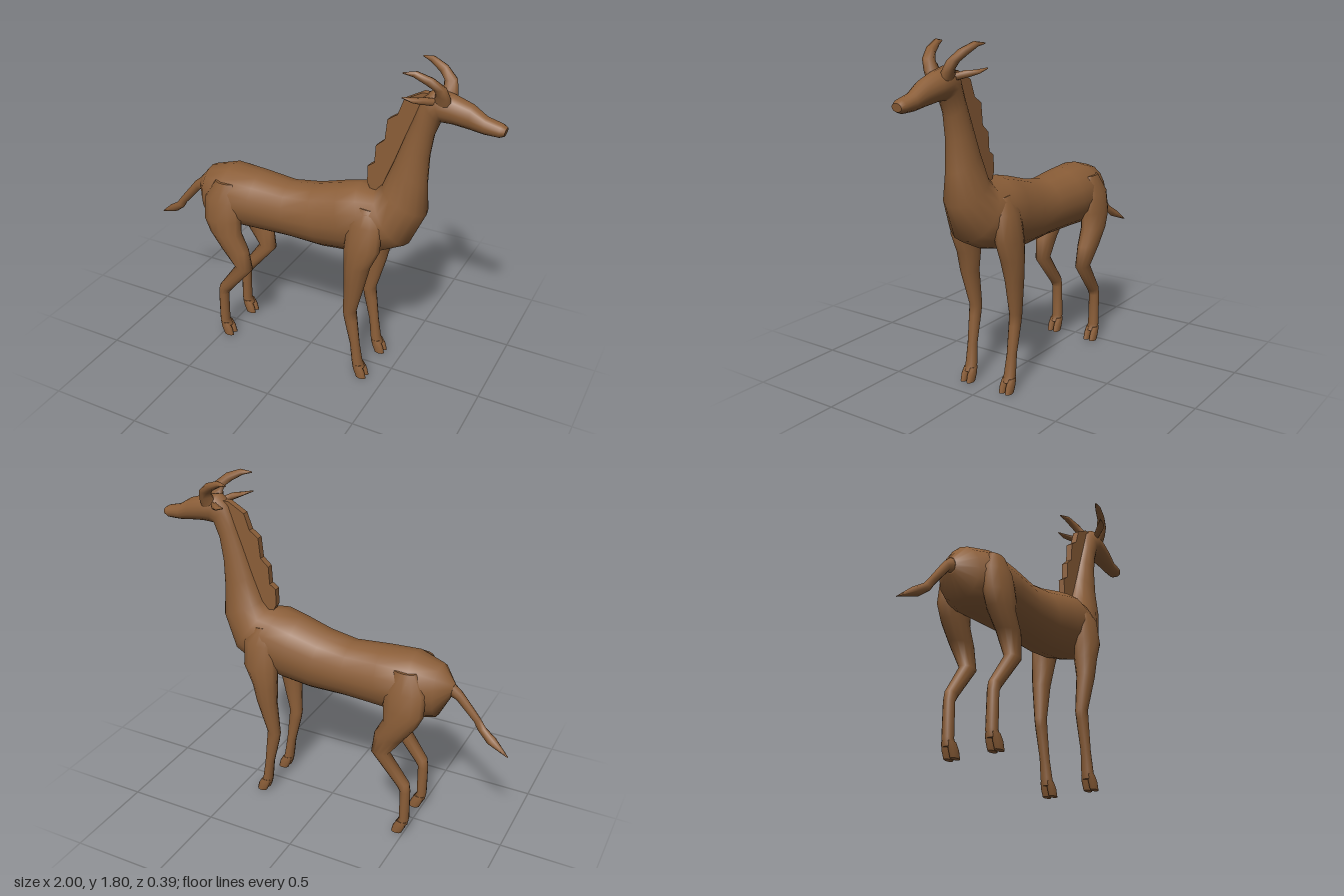
import * as THREE from 'three';

const hide = new THREE.MeshStandardMaterial({ color: 0x8b5e38 });
hide.name = 'brown hide';

// Skin over oval sections. Each section: [x1, y1, x2, y2, z, halfWidth],
// where the two points are its edges in profile.
function loft(name, sections, sides = 12) {
  const pos = [], index = [];
  const ring = ([x1, y1, x2, y2, z, w]) => {
    for (let i = 0; i < sides; i++) {
      const a = (i / sides) * Math.PI * 2, c = Math.cos(a) / 2;
      pos.push((x1 + x2) / 2 + (x1 - x2) * c, (y1 + y2) / 2 + (y1 - y2) * c, z + w * Math.sin(a));
    }
  };
  sections.forEach(ring);
  for (let r = 0; r < sections.length - 1; r++) {
    for (let i = 0; i < sides; i++) {
      const j = (i + 1) % sides, a = r * sides, b = a + sides;
      index.push(a + i, a + j, b + i, a + j, b + j, b + i);
    }
  }
  // End caps on their own vertices, for a crisp rim
  [sections[0], sections[sections.length - 1]].forEach((s, end) => {
    const start = pos.length / 3;
    ring(s);
    for (let i = 1; i < sides - 1; i++) {
      index.push(start, start + i + (end ? 0 : 1), start + i + (end ? 1 : 0));
    }
  });
  // Turn the faces outward if the signed volume is negative
  const p = (i) => new THREE.Vector3().fromArray(pos, i * 3);
  let volume = 0;
  for (let i = 0; i < index.length; i += 3) {
    volume += p(index[i]).dot(p(index[i + 1]).cross(p(index[i + 2])));
  }
  if (volume < 0) index.reverse();
  const geo = new THREE.BufferGeometry();
  geo.setAttribute('position', new THREE.Float32BufferAttribute(pos, 3));
  geo.setIndex(index);
  geo.computeVertexNormals();
  const mesh = new THREE.Mesh(geo, hide);
  mesh.name = name;
  return mesh;
}

// Sections mirrored to one side of the body
const onSide = (s, list) => list.map(([a, b, c, d, z, w]) => [a, b, c, d, z * s, w]);

export function createModel() {
  const model = new THREE.Group();
  model.name = 'antelope';

  // Trunk, neck and head in one skin: back edge, then belly or throat edge
  model.add(loft('body', [
    [-0.685, 0.91, -0.67, 0.83, 0, 0.03],
    [-0.61, 1.00, -0.61, 0.71, 0, 0.12],
    [-0.47, 1.04, -0.52, 0.69, 0, 0.17],
    [-0.30, 1.03, -0.32, 0.70, 0, 0.162],
    [-0.12, 1.015, -0.10, 0.705, 0, 0.145],
    [0.03, 1.04, 0.10, 0.70, 0, 0.15],
    [0.18, 1.085, 0.27, 0.72, 0, 0.162],
    [0.28, 1.11, 0.43, 0.765, 0, 0.165],
    [0.37, 1.10, 0.56, 0.83, 0, 0.14],
    [0.405, 1.14, 0.645, 1.02, 0, 0.105],
    [0.46, 1.28, 0.635, 1.18, 0, 0.08],
    [0.51, 1.42, 0.638, 1.33, 0, 0.065],
    [0.555, 1.54, 0.655, 1.45, 0, 0.057],
    [0.59, 1.64, 0.685, 1.53, 0, 0.06],
    [0.65, 1.69, 0.70, 1.53, 0, 0.068],
    [0.74, 1.67, 0.75, 1.53, 0, 0.062],
    [0.83, 1.64, 0.83, 1.52, 0, 0.05],
    [0.90, 1.595, 0.90, 1.51, 0, 0.04],
    [0.975, 1.575, 0.97, 1.51, 0, 0.04],
    [0.998, 1.56, 0.992, 1.52, 0, 0.028],
  ], 16));

  // Tail with a tuft at the end
  model.add(loft('tail', [
    [-0.66, 0.93, -0.66, 0.84, 0, 0.03],
    [-0.73, 0.87, -0.70, 0.825, 0, 0.024],
    [-0.83, 0.745, -0.795, 0.72, 0.005, 0.016],
    [-0.865, 0.70, -0.82, 0.68, 0, 0.016],
    [-0.925, 0.66, -0.88, 0.63, -0.015, 0.025],
    [-1.00, 0.59, -0.995, 0.588, -0.037, 0.004],
  ], 8));

  // Scalloped mane along the back of the neck
  const outline = [[0.39, 1.09], [0.34, 1.10], [0.325, 1.13], [0.325, 1.22], [0.36, 1.245],
    [0.365, 1.34], [0.41, 1.38], [0.42, 1.49], [0.47, 1.525], [0.50, 1.61], [0.59, 1.66],
    [0.63, 1.66], [0.62, 1.60], [0.43, 1.12]];
  const maneShape = new THREE.Shape(outline.map(([x, y]) => new THREE.Vector2(x, y)));
  const maneGeo = new THREE.ExtrudeGeometry(maneShape, { depth: 0.036, bevelEnabled: false });
  maneGeo.translate(0, 0, -0.018);
  const mane = new THREE.Mesh(maneGeo, hide);
  mane.name = 'mane';
  model.add(mane);

  for (const s of [1, -1]) {
    const side = s > 0 ? 'left' : 'right';

    model.add(loft(side + 'FrontLeg', onSide(s, [
      [0.31, 1.04, 0.41, 1.03, 0.11, 0.02],
      [0.27, 0.95, 0.46, 0.95, 0.125, 0.05],
      [0.26, 0.80, 0.46, 0.82, 0.138, 0.057],
      [0.265, 0.70, 0.41, 0.71, 0.136, 0.058],
      [0.268, 0.60, 0.385, 0.60, 0.14, 0.046],
      [0.26, 0.40, 0.335, 0.41, 0.127, 0.032],
      [0.267, 0.355, 0.342, 0.35, 0.127, 0.03],
      [0.305, 0.20, 0.358, 0.20, 0.126, 0.026],
      [0.318, 0.09, 0.375, 0.09, 0.124, 0.032],
      [0.325, 0.05, 0.39, 0.055, 0.124, 0.032],
    ])));

    model.add(loft(side + 'HindLeg', onSide(s, [
      [-0.52, 0.98, -0.40, 0.98, 0.11, 0.03],
      [-0.58, 0.88, -0.36, 0.88, 0.125, 0.055],
      [-0.58, 0.76, -0.355, 0.78, 0.137, 0.06],
      [-0.545, 0.685, -0.36, 0.69, 0.137, 0.06],
      [-0.475, 0.59, -0.315, 0.60, 0.14, 0.052],
      [-0.40, 0.485, -0.297, 0.48, 0.133, 0.038],
      [-0.515, 0.32, -0.445, 0.30, 0.126, 0.031],
      [-0.522, 0.27, -0.465, 0.27, 0.126, 0.029],
      [-0.522, 0.09, -0.468, 0.09, 0.124, 0.031],
      [-0.515, 0.05, -0.45, 0.055, 0.124, 0.032],
    ])));

    // Cloven hooves: two toes per foot
    for (const [x, foot] of [[0, 'Front'], [-0.84, 'Hind']]) {
      for (const t of [-1, 1]) {
        const z = s * 0.124 + t * 0.019;
        model.add(loft(side + foot + 'Hoof', [
          [0.325 + x, 0.075, 0.38 + x, 0.075, z, 0.014],
          [0.333 + x, 0.04, 0.40 + x, 0.04, z, 0.019],
          [0.35 + x, 0, 0.41 + x, 0, z, 0.018],
        ], 8));
      }
    }

    // Horns sweep up, back and outward
    model.add(loft(side + 'Horn', onSide(s, [
      [0.74, 1.62, 0.65, 1.64, 0.035, 0.03],
      [0.74, 1.665, 0.665, 1.685, 0.05, 0.03],
      [0.725, 1.72, 0.66, 1.71, 0.07, 0.028],
      [0.665, 1.77, 0.63, 1.735, 0.092, 0.024],
      [0.59, 1.797, 0.575, 1.768, 0.11, 0.018],
      [0.53, 1.787, 0.53, 1.78, 0.125, 0.004],
    ]), 8));

    // Leaf-shaped ears pointing back and out
    model.add(loft(side + 'Ear', onSide(s, [
      [0.67, 1.655, 0.66, 1.62, 0.045, 0.02],
      [0.63, 1.67, 0.62, 1.635, 0.09, 0.028],
      [0.59, 1.67, 0.585, 1.65, 0.12, 0.025],
      [0.54, 1.677, 0.54, 1.67, 0.147, 0.003],
    ]), 8));
  }
  return model;
}
